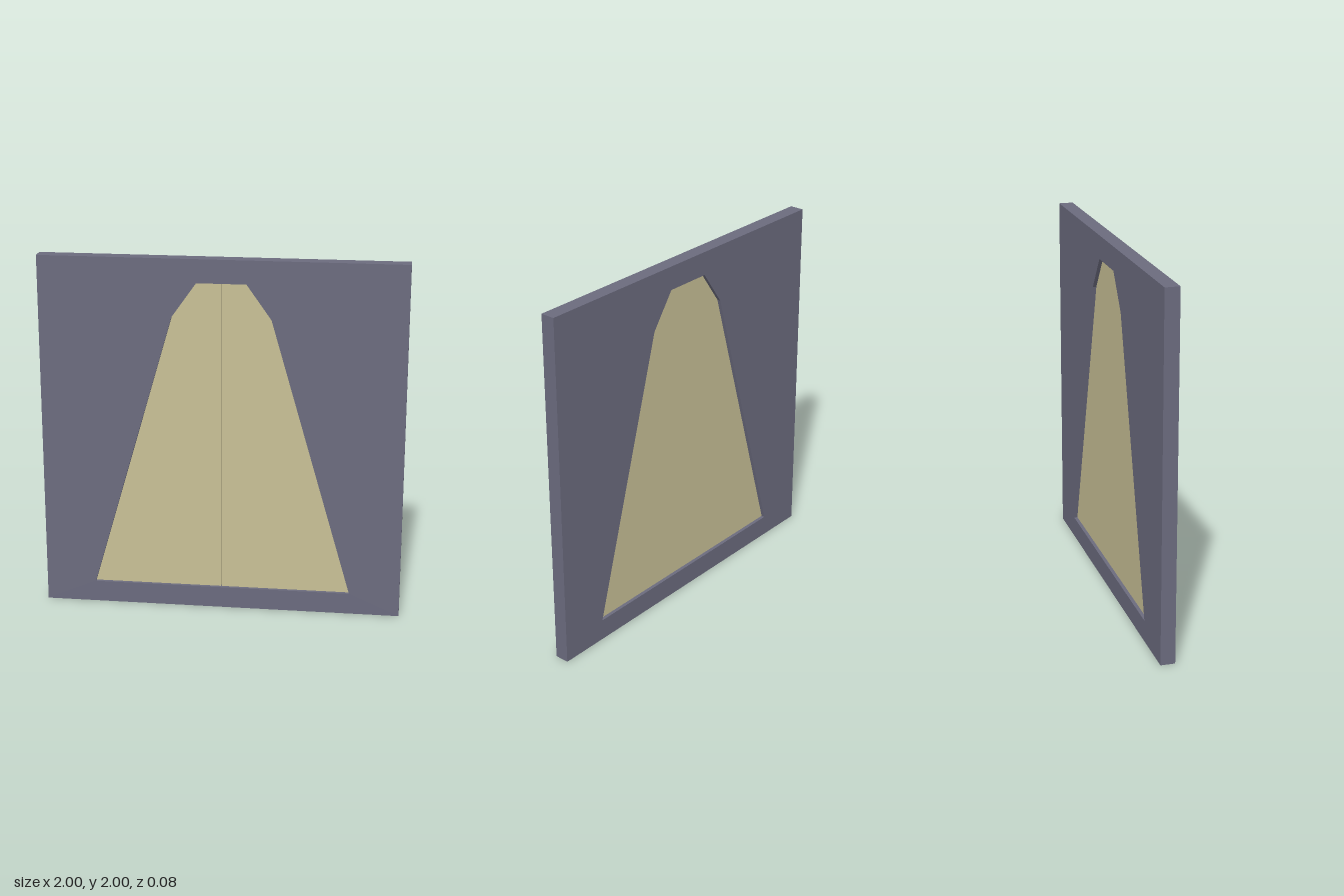
import * as THREE from 'three';

const WALL_DEPTH = 0.08;
const LEAF_DEPTH = 0.04;
const SEAM = 0.006;

// Right half of the opening, from bottom centre to top centre
const halfOutline = [[0, 0.12], [0.72, 0.12], [0.27, 1.68], [0.135, 1.87], [0, 1.87]];

const toPoints = (list) => list.map(([x, y]) => new THREE.Vector2(x, y));
const mirrored = (list) => list.map(([x, y]) => [-x, y]).reverse();

function slab(name, shape, depth, z, material) {
  const geometry = new THREE.ExtrudeGeometry(shape, { depth, bevelEnabled: false });
  const mesh = new THREE.Mesh(geometry, material);
  mesh.name = name;
  mesh.position.z = z;
  return mesh;
}

export function createModel() {
  const model = new THREE.Group();
  model.name = 'wallWithDoubleDoor';
  const wallMaterial = new THREE.MeshStandardMaterial({ color: 0x6b6b7e });
  const doorMaterial = new THREE.MeshStandardMaterial({ color: 0xc8c096 });

  const side = halfOutline.slice(1, -1);
  const opening = toPoints([...side, ...mirrored(side)]);

  // Square wall with a tapered opening
  const wall = new THREE.Shape(toPoints([[-1, 0], [1, 0], [1, 2], [-1, 2]]));
  wall.holes.push(new THREE.Path(opening));
  model.add(slab('wall', wall, WALL_DEPTH, -WALL_DEPTH / 2, wallMaterial));

  // Unbroken back of the door
  const half = LEAF_DEPTH / 2;
  model.add(slab('doorBack', new THREE.Shape(opening), half, -half, doorMaterial));

  // Two front leaves with a narrow seam between them
  const leaf = halfOutline.map(([x, y]) => [Math.max(x, SEAM / 2), y]);
  model.add(slab('leftLeaf', new THREE.Shape(toPoints(leaf)), half, 0, doorMaterial));
  model.add(slab('rightLeaf', new THREE.Shape(toPoints(mirrored(leaf))), half, 0, doorMaterial));

  return model;
}
